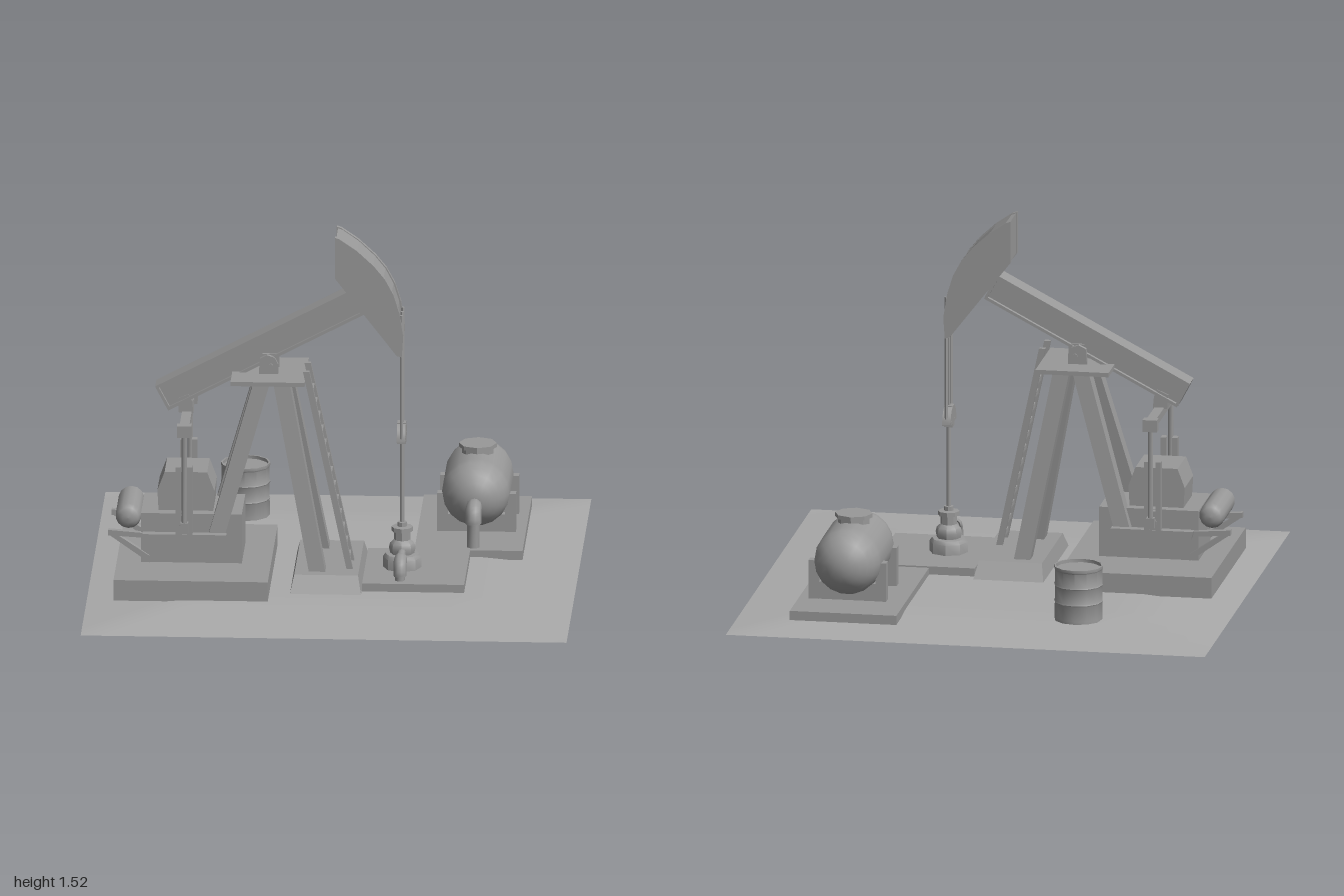
import * as THREE from 'three';
import { toCreasedNormals } from 'three/addons/utils/BufferGeometryUtils.js';

const mat = new THREE.MeshStandardMaterial({ color: 0x999999 });
const thinMat = new THREE.MeshStandardMaterial({ color: 0x999999, side: THREE.DoubleSide });
const groundMat = new THREE.MeshStandardMaterial({ color: 0xaaaaaa, side: THREE.DoubleSide });
const V = (x, y, z) => new THREE.Vector3(x, y, z);
const ZC = 0.2; // centre plane of the pump

export function createModel() {
  const root = new THREE.Group();
  const group = (name) => {
    const g = new THREE.Group();
    g.name = name;
    root.add(g);
    return g;
  };
  const add = (parent, name, geo, material = mat) => {
    const m = new THREE.Mesh(geo, material);
    m.name = name;
    parent.add(m);
    return m;
  };
  // Box given by its limits on each axis
  const box = (p, name, x0, x1, y0, y1, z0, z1) => {
    const m = add(p, name, new THREE.BoxGeometry(x1 - x0, y1 - y0, z1 - z0));
    m.position.set((x0 + x1) / 2, (y0 + y1) / 2, (z0 + z1) / 2);
    return m;
  };
  // Slanted post whose level cross-section stays square to the axes
  const post = (p, name, top, foot, wx, wz) => {
    const geo = new THREE.BoxGeometry(wx, 1, wz);
    const pos = geo.attributes.position;
    for (let i = 0; i < pos.count; i++) {
      const end = pos.getY(i) > 0 ? top : foot;
      pos.setXYZ(i, pos.getX(i) + end.x, end.y, pos.getZ(i) + end.z);
    }
    geo.computeVertexNormals();
    return add(p, name, geo);
  };
  // Round rod between two points
  const rod = (p, name, a, b, r, sides = 8) => {
    const geo = new THREE.CylinderGeometry(r, r, a.distanceTo(b), sides).rotateX(Math.PI / 2);
    const m = add(p, name, toCreasedNormals(geo, 0.9));
    m.position.copy(a).add(b).multiplyScalar(0.5);
    m.lookAt(b);
    return m;
  };
  // Profile in x,y extruded from z0 to z1
  const plate = (p, name, pts, z0, z1) => {
    const shape = new THREE.Shape(pts.map(([x, y]) => new THREE.Vector2(x, y)));
    const geo = new THREE.ExtrudeGeometry(shape, { depth: z1 - z0, bevelEnabled: false });
    geo.translate(0, 0, z0);
    return add(p, name, geo);
  };
  const lathe = (p, name, pts, sides, x, z) => {
    const geo = new THREE.LatheGeometry(pts.map(([r, y]) => new THREE.Vector2(r, y)), sides);
    const m = add(p, name, toCreasedNormals(geo, 0.7), thinMat);
    m.position.set(x, 0, z);
    return m;
  };
  // Thin neck along z that turns down in a thicker elbow
  const downPipe = (p, name, x, y, z0, z1, neck, r) => {
    rod(p, name + 'Neck', V(x, y, z0), V(x, y, z1 - 0.05), neck, 10);
    const path = [V(x, y, z1 - 0.06), V(x, y, z1 - 0.04), V(x, y - 0.012, z1 - 0.012), V(x, y - 0.04, z1), V(x, y - 0.055, z1)];
    add(p, name + 'Elbow', new THREE.TubeGeometry(new THREE.CatmullRomCurve3(path), 12, r, 10), thinMat);
    rod(p, name + 'Drop', V(x, y - 0.05, z1), V(x, 0.06, z1), neck * 1.15, 10);
  };

  // Ground, gently raised away from its edges
  const ground = new THREE.PlaneGeometry(2, 2, 20, 20).rotateX(-Math.PI / 2);
  const gp = ground.attributes.position;
  for (let i = 0; i < gp.count; i++) {
    const edge = 1 - Math.max(Math.abs(gp.getX(i)), Math.abs(gp.getZ(i)));
    gp.setY(i, 0.012 + 0.036 * Math.min(edge / 0.4, 1));
  }
  ground.computeVertexNormals();
  add(root, 'ground', ground, groundMat);

  // Concrete slabs
  const slabs = group('slabs');
  box(slabs, 'engineSlab', -0.885, -0.25, 0.042, 0.13, -0.2, 0.605);
  box(slabs, 'wellSlab', 0.13, 0.55, 0.042, 0.082, -0.05, 0.445);
  box(slabs, 'tankSlab', 0.32, 0.765, 0.038, 0.077, -0.82, -0.055);
  const footing = add(slabs, 'towerFooting', new THREE.BoxGeometry(0.295, 0.072, 0.6));
  const fp = footing.geometry.attributes.position;
  for (let i = 0; i < fp.count; i++) {
    if (fp.getY(i) > 0) fp.setXYZ(i, fp.getX(i) * 0.89, fp.getY(i), fp.getZ(i) * 0.81);
  }
  footing.geometry.computeVertexNormals();
  footing.position.set(-0.018, 0.079, ZC);

  // Tower legs, platform and bearing
  const tower = group('tower');
  for (const s of [-1, 1]) {
    post(tower, 'frontLeg', V(-0.21, 0.91, ZC + s * 0.09), V(-0.055, 0.1, ZC + s * 0.165), 0.068, 0.068);
    post(tower, 'rearLeg', V(-0.287, 0.91, ZC + s * 0.09), V(-0.475, 0.25, ZC + s * 0.15), 0.068, 0.068);
    plate(tower, 'bearingBracket', [[-0.305, 0.915], [-0.225, 0.915], [-0.225, 0.96], [-0.24, 0.99], [-0.27, 1.0], [-0.3, 0.985]],
      ZC + s * 0.05 - 0.009, ZC + s * 0.05 + 0.009);
  }
  box(tower, 'platform', -0.415, -0.11, 0.902, 0.92, 0.025, 0.378);
  rod(tower, 'bearingPin', V(-0.255, 0.955, ZC - 0.065), V(-0.255, 0.955, ZC + 0.065), 0.01, 8);
  box(tower, 'saddle', -0.29, -0.225, 0.94, 1.0, ZC - 0.04, ZC + 0.04);

  // Ladder
  const ladder = group('ladder');
  const top = V(-0.105, 0.96, 0), foot = V(0.075, 0.11, 0);
  for (const z of [0.22, 0.342]) {
    post(ladder, 'rail', top.clone().setZ(z), foot.clone().setZ(z), 0.026, 0.022);
  }
  for (let i = 0; i < 13; i++) {
    const c = foot.clone().lerp(top, 0.05 + i * 0.07);
    box(ladder, 'rung', c.x - 0.009, c.x + 0.009, c.y - 0.009, c.y + 0.009, 0.22, 0.34);
  }

  // Walking beam with an I section
  const beam = group('walkingBeam');
  beam.position.set(-0.302, 1.016, ZC);
  beam.rotation.z = Math.atan2(0.43, 0.815);
  box(beam, 'web', -0.455, 0.455, -0.05, 0.05, -0.03, 0.03);
  for (const s of [-1, 1]) {
    box(beam, 'flange', -0.455, 0.455, s * 0.052 - 0.006, s * 0.052 + 0.006, -0.047, 0.047);
    box(beam, 'endPlate', s * 0.45 - 0.006, s * 0.45 + 0.006, -0.05, 0.05, -0.047, 0.047);
  }

  // Horse head: two side plates around a slightly smaller core
  const head = group('horseHead');
  const outline = [[0.01, 1.52], [0.01, 1.345], [0.265, 1.015], [0.285, 1.01], [0.291, 1.1],
    [0.275, 1.2], [0.25, 1.28], [0.215, 1.345], [0.17, 1.4], [0.1, 1.465], [0.03, 1.513]];
  const core = outline.map(([x, y]) => [0.12 + (x - 0.12) * 0.95, 1.3 + (y - 1.3) * 0.97]);
  plate(head, 'core', core, 0.13, 0.275);
  plate(head, 'sidePlate', outline, 0.116, 0.136);
  plate(head, 'sidePlate', outline, 0.272, 0.292);

  // Hanging cables, carrier and polished rod
  const line = group('rodLine');
  for (const z of [0.143, 0.202, 0.261]) rod(line, 'cable', V(0.283, 1.18, z), V(0.283, 0.65, z), 0.008, 6);
  const carrier = new THREE.CylinderGeometry(0.068, 0.068, 0.035, 12, 1, false, 0, Math.PI);
  carrier.rotateZ(Math.PI / 2);
  const cm = add(line, 'carrier', toCreasedNormals(carrier, 0.6), thinMat);
  cm.position.set(0.281, 0.637, ZC);
  box(line, 'carrierBar', 0.263, 0.299, 0.632, 0.645, 0.135, 0.265);
  box(line, 'rodClamp', 0.263, 0.299, 0.615, 0.705, 0.18, 0.22);
  rod(line, 'polishedRod', V(0.283, 0.65, ZC), V(0.283, 0, ZC), 0.009);

  // Wellhead and its outlet
  const well = group('wellhead');
  lathe(well, 'wellBody', [[0, 0.07], [0.08, 0.07], [0.08, 0.125], [0.07, 0.14], [0.05, 0.142], [0.055, 0.165], [0.05, 0.185],
    [0.034, 0.2], [0.034, 0.235], [0.045, 0.237], [0.045, 0.255], [0.02, 0.257], [0.02, 0.275], [0, 0.275]], 8, 0.283, ZC);
  downPipe(well, 'outlet', 0.283, 0.155, ZC, 0.39, 0.018, 0.027);

  // Engine house and gearbox
  const engine = group('engine');
  box(engine, 'engineHouse', -0.785, -0.37, 0.12, 0.34, 0.06, 0.345);
  plate(engine, 'gearbox', [[-0.715, 0.34], [-0.49, 0.34], [-0.485, 0.425], [-0.515, 0.505], [-0.69, 0.505], [-0.72, 0.425]], 0.1, 0.3);
  rod(engine, 'crankShaft', V(-0.605, 0.3, -0.02), V(-0.605, 0.3, 0.42), 0.02, 10);

  // Motor on its shelf
  const motor = add(engine, 'motor', new THREE.LatheGeometry(
    [[0, -0.157], [0.022, -0.155], [0.042, -0.145], [0.053, -0.122], [0.053, 0.122], [0.042, 0.145], [0.022, 0.155], [0, 0.157]]
      .map(([r, y]) => new THREE.Vector2(r, y)), 14).rotateX(Math.PI / 2));
  motor.position.set(-0.838, 0.32, 0.198);
  for (const z of [0.045, 0.33]) {
    plate(engine, 'motorShelf', [[-0.92, 0.245], [-0.75, 0.235], [-0.75, 0.255], [-0.92, 0.268]], z, z + 0.025);
    plate(engine, 'motorBrace', [[-0.92, 0.25], [-0.75, 0.13], [-0.75, 0.16], [-0.885, 0.25]], z, z + 0.025);
  }

  // Cranks, half-moon weights and pitman rods on both sides
  const drive = group('crankDrive');
  const moon = [];
  for (let i = 0; i <= 10; i++) {
    const a = Math.PI * (1 + i / 10);
    moon.push([-0.603 + 0.172 * Math.cos(a), 0.27 + 0.108 * Math.sin(a)]);
  }
  for (const s of [-1, 1]) {
    const z = ZC + s * 0.195;
    plate(drive, 'counterweight', moon, z - 0.018, z + 0.018);
    for (const dx of [-0.024, 0.024]) {
      box(drive, 'crankArm', -0.605 + dx - 0.011, -0.605 + dx + 0.011, 0.25, 0.56, z - 0.018, z + 0.018);
    }
    box(drive, 'crankHub', -0.63, -0.58, 0.25, 0.35, z - 0.015, z + 0.015);
    const zp = ZC + s * 0.237;
    rod(drive, 'pitmanRod', V(-0.602, 0.3, zp), V(-0.602, 0.72, zp), 0.011);
    box(drive, 'pitmanFoot', -0.618, -0.586, 0.285, 0.33, zp - 0.014, zp + 0.014);
    box(drive, 'pitmanHead', -0.632, -0.572, 0.7, 0.75, zp - 0.022, zp + 0.022);
  }
  box(drive, 'equalizer', -0.622, -0.582, 0.712, 0.745, -0.04, 0.44);
  plate(drive, 'tailBearing', [[-0.635, 0.74], [-0.575, 0.74], [-0.58, 0.79], [-0.595, 0.82], [-0.64, 0.8]], ZC - 0.035, ZC + 0.035);

  // Storage tank on its saddles
  const tank = group('tank');
  const shell = add(tank, 'shell', new THREE.CapsuleGeometry(0.141, 0.255, 6, 18).rotateX(Math.PI / 2));
  shell.position.set(0.56, 0.243, -0.467);
  for (const z of [-0.59, -0.34]) {
    for (const s of [-1, 1]) {
      box(tank, 'tankLeg', 0.562 + s * 0.14 - 0.022, 0.562 + s * 0.14 + 0.022, 0.07, 0.24, z - 0.022, z + 0.022);
    }
    box(tank, 'tankSaddle', 0.42, 0.704, 0.07, 0.15, z - 0.02, z + 0.02);
  }
  lathe(tank, 'hatch', [[0.065, 0.36], [0.065, 0.393], [0.078, 0.395], [0.078, 0.412], [0, 0.412]], 8, 0.56, -0.47);
  downPipe(tank, 'drain', 0.56, 0.232, -0.24, -0.105, 0.023, 0.033);

  // Steel drum with slight ribs and a sunken lid
  lathe(root, 'drum', [[0, 0.043], [0.101, 0.043], [0.101, 0.055], [0.099, 0.115], [0.102, 0.121], [0.099, 0.127],
    [0.099, 0.185], [0.102, 0.191], [0.099, 0.197], [0.099, 0.255], [0.102, 0.26], [0.102, 0.272], [0.095, 0.272],
    [0.095, 0.258], [0, 0.258]], 12, -0.403, -0.607);

  return root;
}
